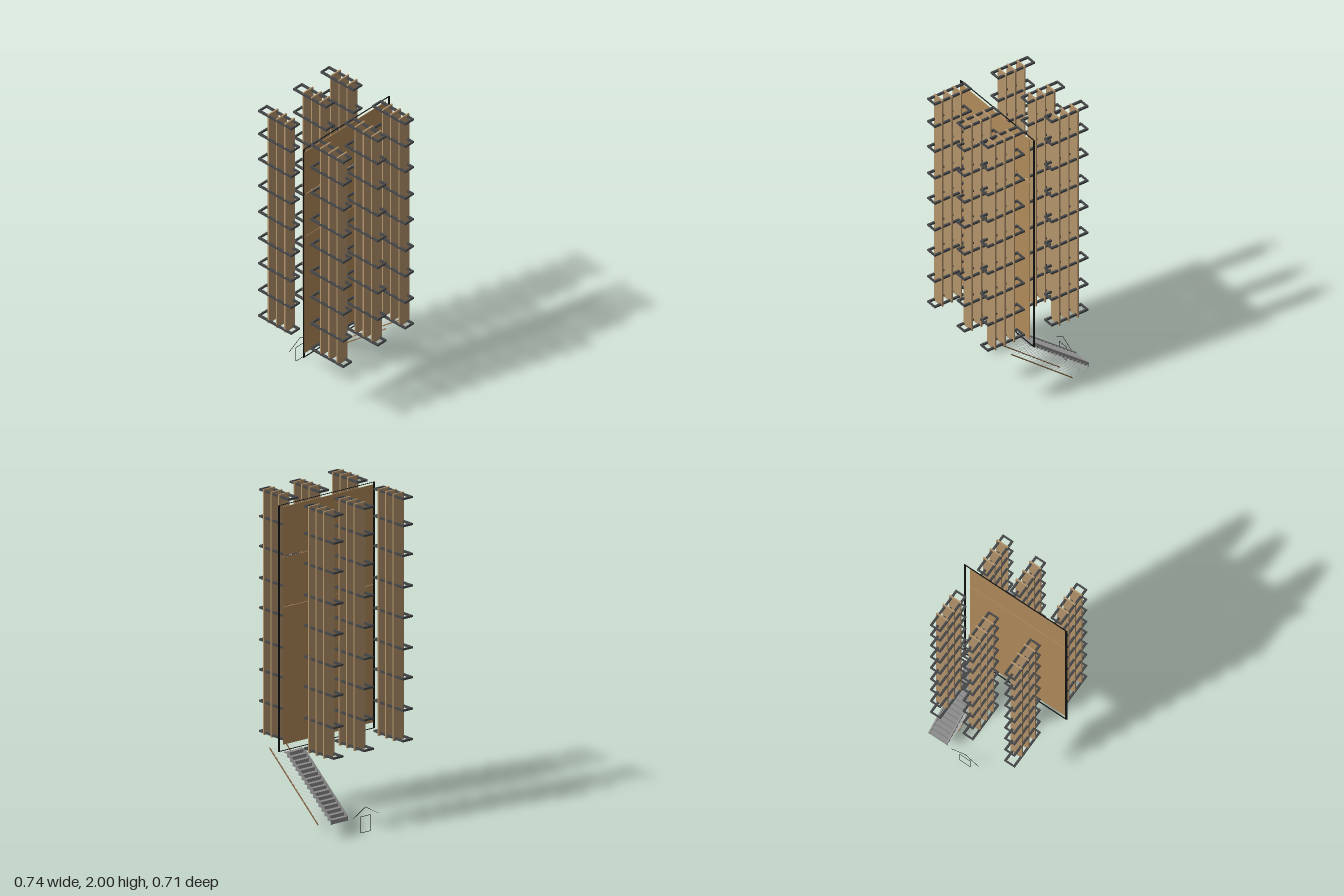
import * as THREE from 'three';

const mat = (color) => new THREE.MeshStandardMaterial({ color, side: THREE.DoubleSide });
const WOOD = mat(0xb4946c), WALL = mat(0xb08a5a), STEEL = mat(0x444648);
const BLACK = mat(0x111111), GREY = mat(0x8c8c8c), LIGHT = mat(0xcccccc), RAIL = mat(0x8a6a48);

// Box given by its minimum and maximum corners
function span(parent, name, m, x0, x1, y0, y1, z0, z1) {
  const mesh = new THREE.Mesh(new THREE.BoxGeometry(x1 - x0, y1 - y0, z1 - z0), m);
  mesh.position.set((x0 + x1) / 2, (y0 + y1) / 2, (z0 + z1) / 2);
  mesh.name = name;
  parent.add(mesh);
  return mesh;
}

// Thin square bar between two points
function bar(parent, name, m, a, b, t) {
  const p = new THREE.Vector3(...a), q = new THREE.Vector3(...b);
  const mesh = new THREE.Mesh(new THREE.BoxGeometry(t, t, p.distanceTo(q)), m);
  mesh.position.copy(p).add(q).multiplyScalar(0.5);
  mesh.lookAt(q);
  mesh.name = name;
  parent.add(mesh);
}

// Rectangular steel frame lying flat, extruded with a hole
function frameGeometry(w, d, h) {
  const s = new THREE.Shape([[0, 0], [w, 0], [w, d], [0, d]].map(p => new THREE.Vector2(...p)));
  const e = 0.013, f = 0.009;
  s.holes.push(new THREE.Path([[e, f], [e, d - f], [w - e, d - f], [w - e, f]].map(p => new THREE.Vector2(...p))));
  return new THREE.ExtrudeGeometry(s, { depth: h, bevelEnabled: false }).rotateX(Math.PI / 2);
}

// Three tall boards held by a ladder of steel frames
function rack(x, zMin, boardZ, heights, yTop) {
  const g = new THREE.Group();
  g.name = 'boardRack';
  const geo = frameGeometry(0.076, 0.268, 0.012);
  for (const y of heights) {
    const f = new THREE.Mesh(geo, STEEL);
    f.name = 'rackFrame';
    f.position.set(x, y + 0.006, zMin);
    g.add(f);
  }
  for (const z of boardZ) span(g, 'rackBoard', WOOD, x + 0.002, x + 0.085, 0.485, yTop, z - 0.0045, z + 0.0045);
  return g;
}

// Profile in (z, y) extruded along x
function extrudeX(parent, name, m, pts, x0, x1) {
  const geo = new THREE.ExtrudeGeometry(new THREE.Shape(pts), { depth: x1 - x0, bevelEnabled: false });
  const mesh = new THREE.Mesh(geo.rotateY(-Math.PI / 2), m);
  mesh.position.x = x1;
  mesh.name = name;
  parent.add(mesh);
}

function staircase() {
  const g = new THREE.Group();
  g.name = 'staircase';
  const V = (z, y) => new THREE.Vector2(z, y);
  const steps = 16, run = 0.0265, rise = 0.0213, zTop = 0.08, yTop = 0.435;
  const zig = [V(zTop, yTop)];
  for (let i = 0; i < steps; i++) {
    const z = zTop - run * (i + 1);
    zig.push(V(z, yTop - rise * i), V(z, yTop - rise * (i + 1)));
  }
  // Folded treads
  const upper = zig.map(p => V(p.x - 0.004, p.y + 0.006)).reverse();
  extrudeX(g, 'treads', GREY, [...zig, ...upper], 0.197, 0.311);
  // Side stringers
  const side = [...zig, V(-0.348, 0.094), V(-0.348, 0.125), V(0.045, 0.443), V(zTop, 0.443)];
  for (const x of [0.188, 0.311]) extrudeX(g, 'stringer', GREY, side, x, x + 0.009);
  // Railings with one thin baluster per step
  const railZ = y => -0.23 + (y - 0.066) * (0.444 / 0.366);
  for (const x of [0.19, 0.318]) {
    bar(g, 'handrail', RAIL, [x, 0.066, -0.23], [x, 0.432, 0.214], 0.006);
    for (let i = 0; i <= steps; i++) {
      const y = yTop - rise * i;
      bar(g, 'baluster', LIGHT, [x, y, zTop - run * i], [x, y, railZ(y)], 0.002);
    }
  }
  return g;
}

// Thin outline of an upward arrow
function arrow() {
  const g = new THREE.Group();
  g.name = 'arrowOutline';
  const pts = [[0.02, 0.1], [0.02, 0.001], [0.095, 0.001], [0.095, 0.1]];
  const head = [[-0.038, 0.098], [0.058, 0.155], [0.155, 0.098]];
  for (const line of [pts, head])
    for (let i = 1; i < line.length; i++)
      bar(g, 'arrowLine', BLACK, [...line[i - 1], -0.352], [...line[i], -0.352], 0.002);
  bar(g, 'arrowLine', BLACK, [0.02, 0.1, -0.352], [0.095, 0.1, -0.352], 0.002);
  return g;
}

export function createModel() {
  const model = new THREE.Group();
  model.name = 'boardRackDisplay';

  // Front and back racks
  const front = [0.495, 0.68, 0.872, 1.056, 1.252, 1.436, 1.63, 1.813, 1.977];
  const back = [0.5, 0.687, 0.88, 1.063, 1.255, 1.443, 1.637, 1.82, 1.986];
  for (const x of [-0.322, -0.029, 0.204]) model.add(rack(x, 0.087, [0.169, 0.236, 0.304], front, 1.992));
  for (const x of [-0.299, -0.002, 0.231]) model.add(rack(x, -0.356, [-0.275, -0.208, -0.141], back, 2));

  // Wall of three panels
  for (const [a, b] of [[0.485, 1.329], [1.332, 1.635], [1.645, 1.945]])
    span(model, 'wallPanel', WALL, -0.364, 0.325, a, b, 0.081, 0.085);

  // Slim surround: flat posts and flat rails
  for (const x of [-0.365, 0.359]) span(model, 'post', BLACK, x - 0.006, x + 0.006, 0.45, 1.962, 0.076, 0.08);
  for (const y of [0.451, 1.961]) span(model, 'surroundRail', BLACK, -0.365, 0.359, y - 0.001, y + 0.001, 0.074, 0.081);

  model.add(staircase(), arrow());
  return model;
}
